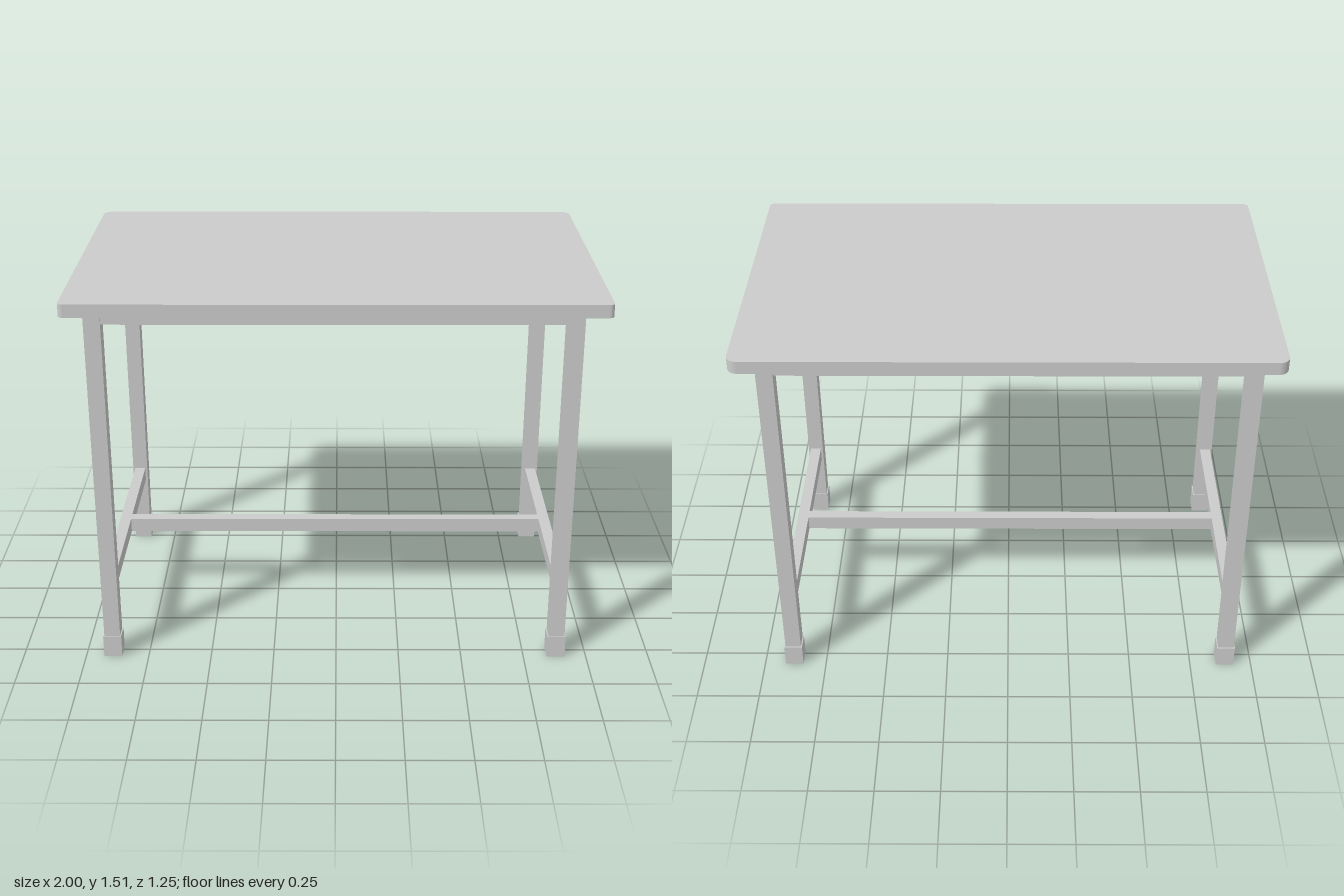
import * as THREE from 'three';

export function createModel() {
  const table = new THREE.Group();
  table.name = 'table';
  const material = new THREE.MeshStandardMaterial({ color: 0xcccccc, flatShading: true });

  // Box given by its minimum and maximum on each axis
  function bar(name, [x0, x1], [y0, y1], [z0, z1]) {
    const mesh = new THREE.Mesh(new THREE.BoxGeometry(x1 - x0, y1 - y0, z1 - z0), material);
    mesh.position.set((x0 + x1) / 2, (y0 + y1) / 2, (z0 + z1) / 2);
    mesh.name = name;
    table.add(mesh);
  }
  const around = (centre, width) => [centre - width / 2, centre + width / 2];

  // Tabletop: rounded outline, rear corners a little rounder than the front
  const w = 1, d = 0.625, front = 0.02, rear = 0.04;
  const outline = new THREE.Shape();
  outline.moveTo(-w + front, -d);
  outline.absarc(w - front, -d + front, front, -Math.PI / 2, 0);
  outline.absarc(w - rear, d - rear, rear, 0, Math.PI / 2);
  outline.absarc(-w + rear, d - rear, rear, Math.PI / 2, Math.PI);
  outline.absarc(-w + front, -d + front, front, Math.PI, Math.PI * 1.5);
  const topGeometry = new THREE.ExtrudeGeometry(outline, { depth: 0.05, bevelEnabled: false, curveSegments: 6 });
  topGeometry.rotateX(-Math.PI / 2);
  const top = new THREE.Mesh(topGeometry, material);
  top.position.y = 1.457;
  top.name = 'tabletop';
  table.add(top);

  const legX = [-0.892, 0.879], legZ = [-0.525, 0.514];
  const legWidth = 0.063, half = legWidth / 2;
  const railY = [0.288, 0.346];

  // Legs with slightly wider feet
  for (const x of legX) {
    for (const z of legZ) {
      bar('leg', around(x, legWidth), [0.05, 1.457], around(z, legWidth));
      bar('foot', around(x, 0.072), [0, 0.09], around(z, 0.072));
    }
    // Low side rail joining the front and back legs
    bar('sideRail', around(x, 0.045), railY, [legZ[0] + half, legZ[1] - half]);
  }

  // Long aprons under the top, front and back
  for (const z of legZ) {
    bar('apron', [legX[0] + half, legX[1] - half], [1.4, 1.457], around(z, 0.045));
  }

  // Central stretcher between the side rails
  bar('stretcher', [legX[0] + 0.0225, legX[1] - 0.0225], railY, around(-0.005, 0.045));

  return table;
}
